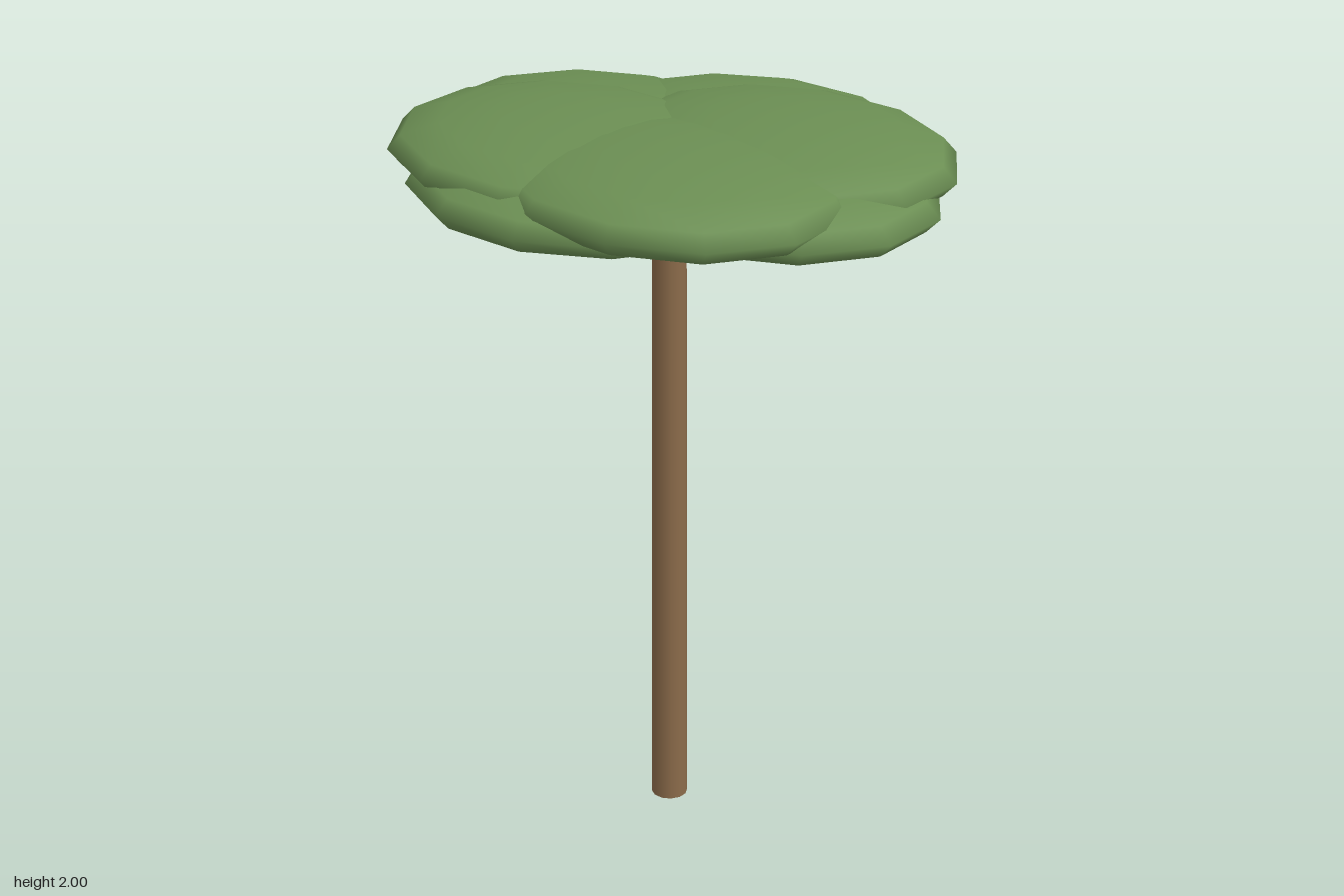
import * as THREE from 'three';

const TRUNK_HEIGHT = 1.84;
const PAD_THICKNESS = 0.1; // half height of each leaf pad

// Leaf pads: centre x, y, z and half widths along x and z
const LOWER = 1.86, UPPER = 1.9;
const PADS = [
  ['lowerRightPad', -0.28, LOWER, 0.02, 0.52, 0.42],
  ['lowerBackPad', -0.05, LOWER, -0.25, 0.5, 0.45],
  ['lowerLeftPad', 0.27, LOWER, -0.08, 0.52, 0.42],
  ['lowerFrontPad', 0, LOWER, 0.24, 0.5, 0.45],
  ['upperFrontLeftPad', 0.22, UPPER, 0.16, 0.52, 0.42],
  ['upperFrontRightPad', -0.14, UPPER, 0.22, 0.52, 0.43],
  ['upperBackPad', 0.19, UPPER, -0.2, 0.51, 0.43],
];

export function createModel() {
  const bark = new THREE.MeshStandardMaterial({ color: 0x8b6b4a });
  bark.name = 'bark brown';
  const leaf = new THREE.MeshStandardMaterial({ color: 0x6b8e53 });
  leaf.name = 'leaf green';

  const tree = new THREE.Group();
  tree.name = 'flatToppedTree';

  // Tall thin trunk, ending inside the canopy
  const trunk = new THREE.Mesh(
    new THREE.CylinderGeometry(0.044, 0.05, TRUNK_HEIGHT, 12), bark);
  trunk.name = 'trunk';
  trunk.position.y = TRUNK_HEIGHT / 2;
  tree.add(trunk);

  // Canopy of overlapping flattened spheres
  const canopy = new THREE.Group();
  canopy.name = 'canopy';
  const sphere = new THREE.SphereGeometry(1, 12, 8);
  for (const [name, x, y, z, rx, rz] of PADS) {
    const pad = new THREE.Mesh(sphere, leaf);
    pad.name = name;
    pad.position.set(x, y, z);
    pad.scale.set(rx, PAD_THICKNESS, rz);
    canopy.add(pad);
  }
  tree.add(canopy);
  return tree;
}
